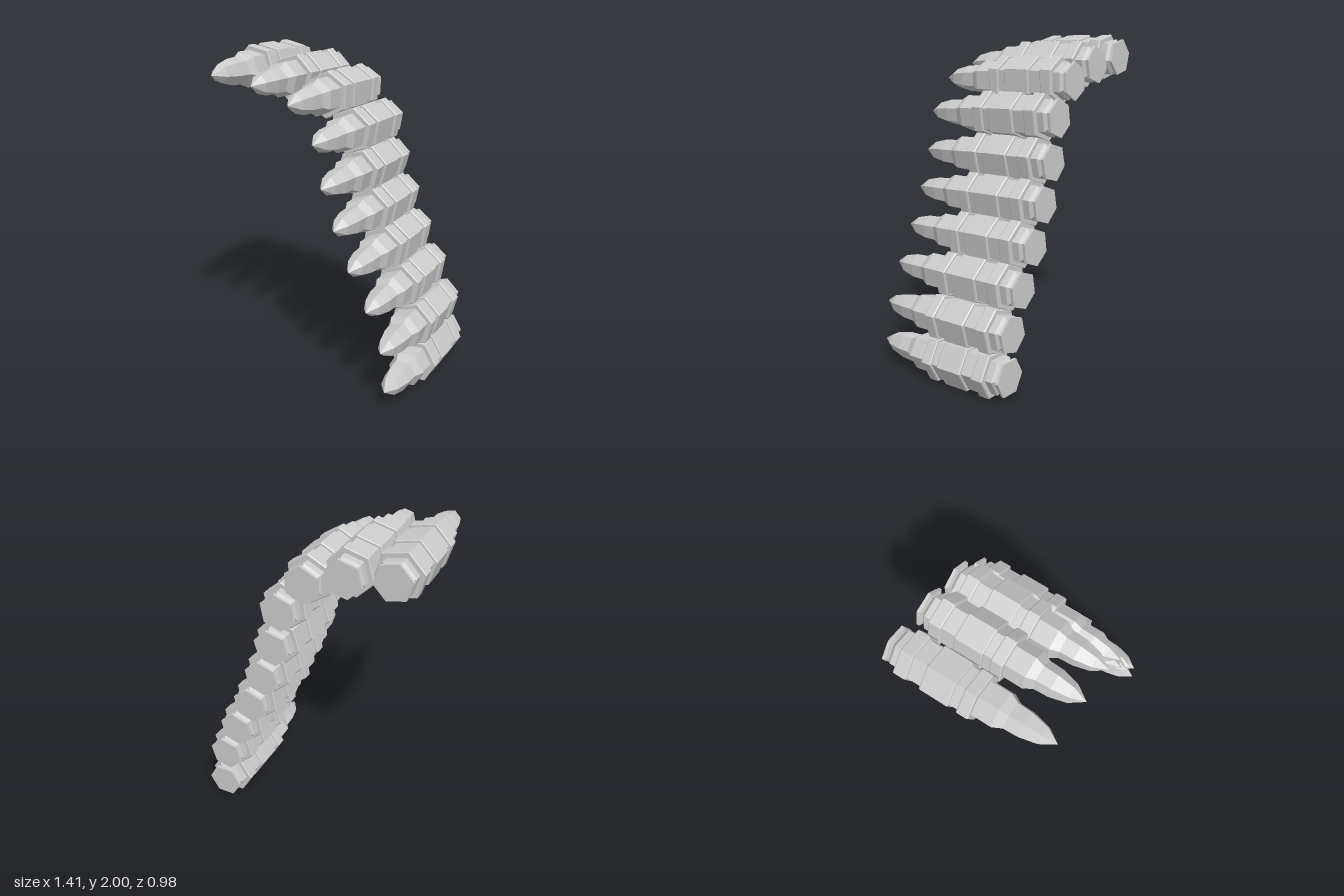
import * as THREE from 'three';

// Centre x, centre y and roll in degrees of each round, top to bottom
const ROUNDS = [
  [-0.568, 1.868, -13], [-0.295, 1.825, 15], [-0.055, 1.735, 27], [0.1, 1.53, 20],
  [0.153, 1.285, 15], [0.23, 1.053, 18], [0.325, 0.825, 21], [0.437, 0.602, 20],
  [0.532, 0.37, 15], [0.56, 0.128, 0],
];

// Profiles as [radius, z], from back to front
const CASE = [
  [0, -0.492], [0.113, -0.492], [0.113, -0.475], [0.084, -0.466],
  [0.112, -0.445], [0.112, 0.17], [0.084, 0.22],
];
const BULLET = [[0.084, 0.22], [0.08, 0.305], [0.056, 0.405], [0, 0.488]];
const LINK = [
  [0.1, -0.402], [0.14, -0.402], [0.145, -0.396], [0.145, -0.332], [0.14, -0.326], [0.129, -0.324],
  [0.129, -0.242], [0.14, -0.242], [0.145, -0.236], [0.145, -0.075], [0.14, -0.069], [0.129, -0.069],
  [0.129, -0.019], [0.14, -0.019], [0.145, -0.013], [0.145, 0.045], [0.14, 0.051], [0.1, 0.051],
];

// Six-sided lathe laid along z, with a corner pointing to +x
function hexTurned(profile) {
  const points = profile.map(([r, z]) => new THREE.Vector2(r, z));
  return new THREE.LatheGeometry(points, 6, Math.PI / 6).rotateX(Math.PI / 2);
}

export function createModel() {
  const model = new THREE.Group();
  model.name = 'cartridgeBelt';
  const material = new THREE.MeshStandardMaterial({ color: 0xcccccc, flatShading: true });
  const parts = {
    cartridgeCase: hexTurned(CASE),
    bullet: hexTurned(BULLET),
    beltLink: hexTurned(LINK),
  };

  ROUNDS.forEach(([x, y, roll], i) => {
    const round = new THREE.Group();
    round.name = `round${i + 1}`;
    for (const [name, geometry] of Object.entries(parts)) {
      const mesh = new THREE.Mesh(geometry, material);
      mesh.name = name;
      round.add(mesh);
    }
    round.position.set(x, y, 0);
    round.rotation.z = THREE.MathUtils.degToRad(roll);
    model.add(round);
  });
  return model;
}
